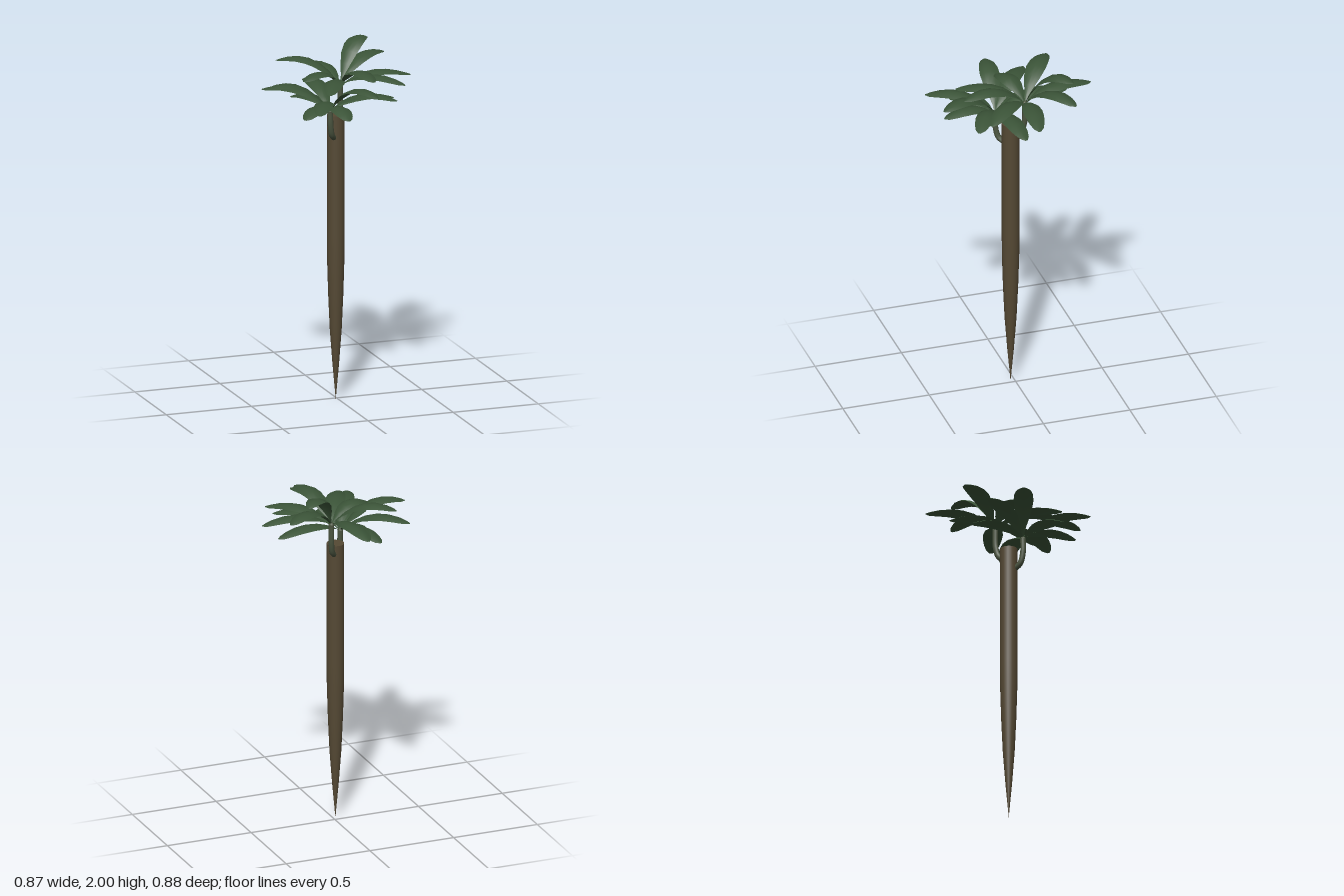
import * as THREE from 'three';

const trunkMat = new THREE.MeshStandardMaterial({ color: 0x554934 });
const branchMat = new THREE.MeshStandardMaterial({ color: 0x4b5540 });
const leafMat = new THREE.MeshStandardMaterial({ color: 0x3b5438, side: THREE.DoubleSide });

const V = (x, y, z) => new THREE.Vector3(x, y, z);

// Half widths along a leaf, from stalk to blunt tip
const LEAF_WIDTHS = [[0, 0.004], [0.1, 0.01], [0.22, 0.029], [0.38, 0.047], [0.55, 0.055],
  [0.7, 0.052], [0.84, 0.042], [0.94, 0.027], [1, 0.006]];
const ACROSS = [-1, -0.5, 0, 0.5, 1];

// Arching blade whose edges curl down from the midrib
function leafGeometry(base, tip) {
  const control = base.clone().lerp(tip, 0.42).setY(tip.y + 0.095);
  const curve = new THREE.QuadraticBezierCurve3(base, control, tip);
  const side = V(tip.z - base.z, 0, base.x - tip.x).normalize();
  const n = ACROSS.length;
  const positions = [], index = [];
  LEAF_WIDTHS.forEach(([t, w], row) => {
    const rib = curve.getPoint(t);
    ACROSS.forEach((u, col) => {
      const p = rib.clone().addScaledVector(side, u * w);
      positions.push(p.x, p.y - 0.3 * w * u * u, p.z);
      if (row === 0 || col === 0) return;
      const d = row * n + col, c = d - 1, b = d - n, a = b - 1;
      index.push(a, b, c, b, d, c);
    });
  });
  const geometry = new THREE.BufferGeometry();
  geometry.setAttribute('position', new THREE.Float32BufferAttribute(positions, 3));
  geometry.setIndex(index);
  geometry.computeVertexNormals();
  return geometry;
}

// Bent branch carrying a rosette of leaves
function crown(name, path, tips) {
  const group = new THREE.Group();
  group.name = name;
  const curve = new THREE.CatmullRomCurve3(path);
  const branch = new THREE.Mesh(new THREE.TubeGeometry(curve, 20, 0.016, 10), branchMat);
  branch.name = 'branch';
  group.add(branch);

  const end = path[path.length - 1];
  const bud = new THREE.Mesh(new THREE.SphereGeometry(0.016, 10, 8), branchMat);
  bud.name = 'branchEnd';
  bud.position.copy(end);
  group.add(bud);

  for (const [x, y, z] of tips) {
    const leaf = new THREE.Mesh(leafGeometry(end, V(x, y, z)), leafMat);
    leaf.name = 'leaf';
    group.add(leaf);
  }
  return group;
}

export function createModel() {
  const model = new THREE.Group();
  model.name = 'plant';

  // Trunk tapering to a point at the foot
  const trunk = new THREE.Group();
  trunk.name = 'trunk';
  trunk.position.set(-0.014, 0, 0.025);
  const profile = [[0, 0], [0.018, 0.2], [0.033, 0.4], [0.042, 0.6], [0.048, 0.8],
    [0.049, 0.95], [0.049, 1.63]].map(([r, y]) => new THREE.Vector2(r, y));
  const stem = new THREE.Mesh(new THREE.LatheGeometry(profile, 24), trunkMat);
  stem.name = 'trunkStem';
  const top = new THREE.Mesh(new THREE.CircleGeometry(0.049, 24), trunkMat);
  top.name = 'trunkTop';
  top.rotation.x = -Math.PI / 2;
  top.position.y = 1.63;
  trunk.add(stem, top);
  model.add(trunk);

  // Upper crown, at the back left
  model.add(crown('upperCrown',
    [V(0.0, 1.57, 0.0), V(0.026, 1.6, -0.025), V(0.037, 1.66, -0.04), V(0.038, 1.77, -0.042)],
    [[-0.02, 1.81, -0.44], [0.26, 1.98, -0.25], [0.36, 1.89, -0.235], [0.435, 1.81, 0],
      [0.315, 1.82, 0.24], [0.1, 1.88, 0.33], [-0.15, 1.82, 0.3], [-0.21, 1.84, 0.05],
      [-0.26, 1.89, -0.26]]));

  // Lower crown, at the front right
  model.add(crown('lowerCrown',
    [V(-0.035, 1.505, 0.055), V(-0.058, 1.53, 0.082), V(-0.07, 1.59, 0.095), V(-0.073, 1.67, 0.095)],
    [[-0.07, 1.755, -0.315], [-0.19, 1.69, -0.21], [-0.38, 1.76, -0.165], [-0.435, 1.815, 0.04],
      [-0.29, 1.69, 0.29], [-0.26, 1.75, 0.44], [-0.07, 1.69, 0.39], [0.08, 1.82, 0.44],
      [0.25, 1.75, 0.29], [0.32, 1.7, 0.04]]));

  return model;
}
